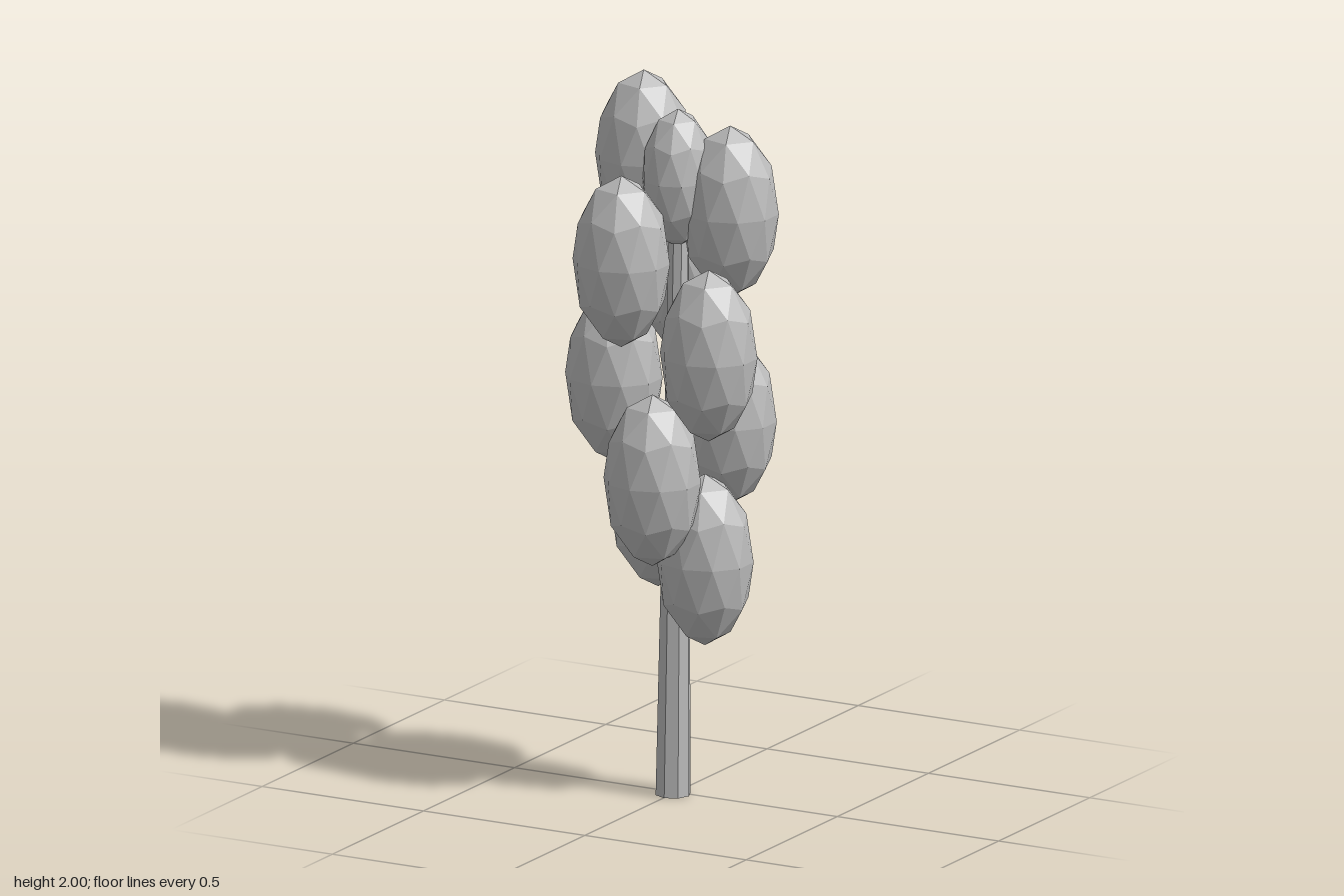
import * as THREE from 'three';

export function createModel() {
  const group = new THREE.Group();
  const grey = new THREE.MeshStandardMaterial({ color: 0xbcbcbc, flatShading: true });
  grey.name = 'plain grey';

  // Stem: tapered, leaning very slightly while its base stays flat
  const height = 1.65;
  const stemGeometry = new THREE.CylinderGeometry(0.027, 0.049, height, 8);
  stemGeometry.translate(0, height / 2, 0);
  const p = stemGeometry.attributes.position;
  for (let i = 0; i < p.count; i++) {
    const t = p.getY(i) / height;
    p.setX(i, p.getX(i) + 0.002 + 0.013 * t);
    p.setZ(i, p.getZ(i) + 0.019 - 0.009 * t);
  }
  stemGeometry.computeVertexNormals();
  const stem = new THREE.Mesh(stemGeometry, grey);
  stem.name = 'stem';
  group.add(stem);

  // Faceted bud with a corner at each pole
  const budGeometry = new THREE.IcosahedronGeometry(1, 1);
  budGeometry.rotateZ(-Math.atan(2 / (1 + Math.sqrt(5))));

  function addBud(name, x, y, z, rx, ry, rz) {
    const bud = new THREE.Mesh(budGeometry, grey);
    bud.name = name;
    bud.position.set(x, y, z);
    bud.scale.set(rx, ry, rz);
    group.add(bud);
  }

  // Buds spiral up the stem, evenly spaced in height
  const spiral = [
    [0.1, 0.018], [-0.088, -0.058], [0.012, 0.151], [0.1, -0.109], [-0.172, 0.036],
    [0.17, 0.121], [-0.047, -0.168], [-0.075, 0.167], [0.147, -0.037], [-0.12, -0.036],
  ];
  spiral.forEach(([x, z], i) => {
    addBud('bud' + (i + 1), x, 0.67 + i * 0.121, z, 0.136, 0.24, 0.124);
  });

  // Smaller bud on the tip
  addBud('tipBud', 0.015, 1.727, 0.015, 0.099, 0.193, 0.104);

  return group;
}
